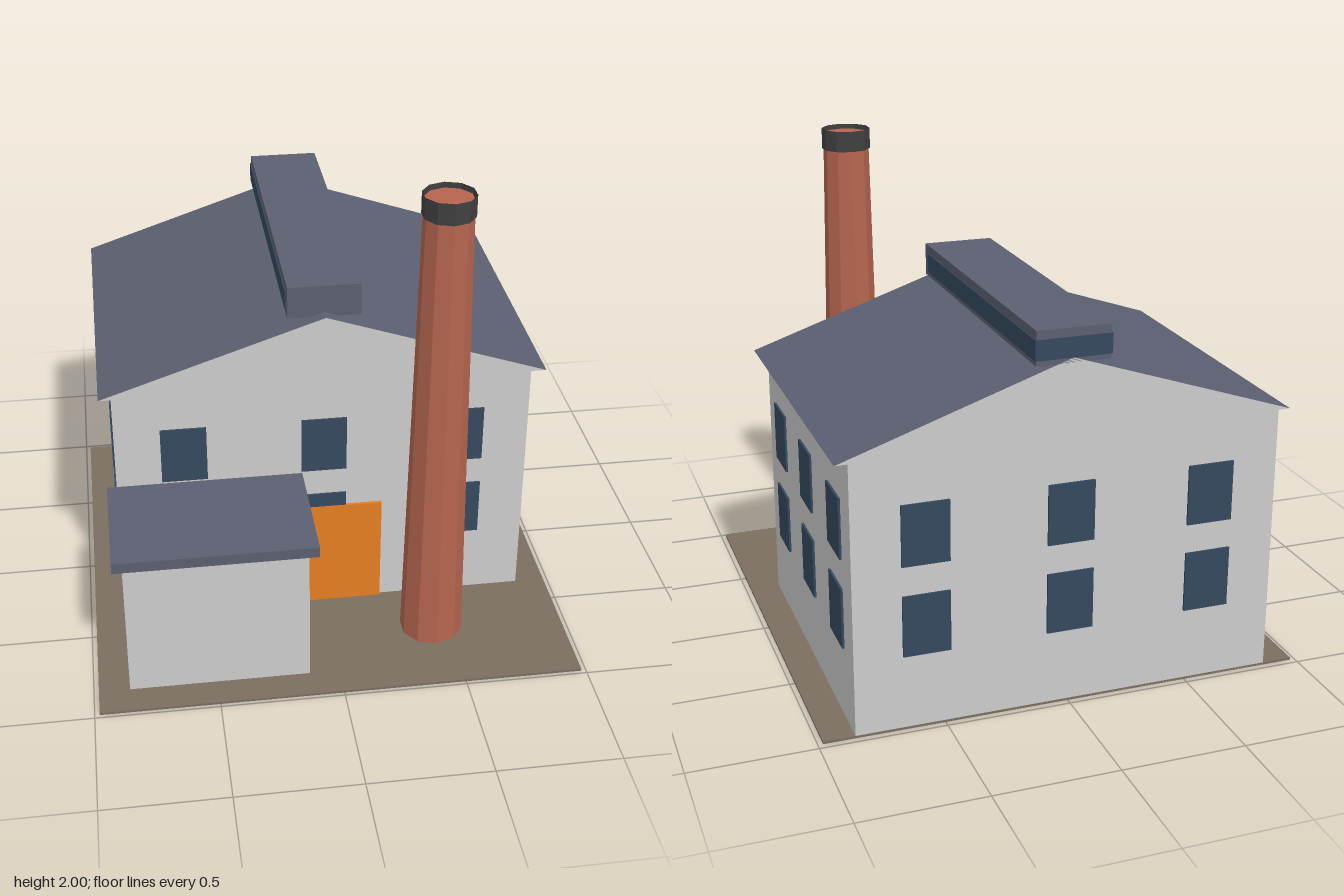
import * as THREE from 'three';

const mat = (name, color, extra = {}) => {
  const m = new THREE.MeshStandardMaterial({ color, ...extra });
  m.name = name;
  return m;
};

export function createModel() {
  const wall = mat('wall grey', 0xcccccc);
  const slate = mat('roof slate', 0x5b5f70);
  const glass = mat('window blue', 0x34495e);
  const orange = mat('door orange', 0xe67e22);
  const brick = mat('brick red', 0xb5654f, { flatShading: true });
  const soot = mat('cap charcoal', 0x404040, { flatShading: true, side: THREE.DoubleSide });
  const soil = mat('ground brown', 0x7a6e5f);

  const model = new THREE.Group();
  model.name = 'factory';
  const add = (name, geometry, material, parent = model) => {
    const mesh = new THREE.Mesh(geometry, material);
    mesh.name = name;
    parent.add(mesh);
    return mesh;
  };
  // Box given by its min and max on each axis
  const box = (name, material, [x0, x1], [y0, y1], [z0, z1], parent) => {
    const mesh = add(name, new THREE.BoxGeometry(x1 - x0, y1 - y0, z1 - z0), material, parent);
    mesh.position.set((x0 + x1) / 2, (y0 + y1) / 2, (z0 + z1) / 2);
    return mesh;
  };

  const back = -0.975, front = 0.375, side = 0.855, eaves = 1.105;

  // Ground slab and main hall
  box('ground', soil, [-0.98, 0.98], [0, 0.01], [back, 0.985]);
  box('mainHall', wall, [-side, side], [0.002, eaves], [back, front]);

  // Gabled roof: grey gable ends, slate slopes and eaves
  const gable = new THREE.Shape([
    new THREE.Vector2(-0.905, eaves),
    new THREE.Vector2(0.905, eaves),
    new THREE.Vector2(0, 1.41),
  ]);
  const roofGeometry = new THREE.ExtrudeGeometry(gable, { depth: 0.42 - back, bevelEnabled: false });
  add('mainRoof', roofGeometry, [wall, slate]).position.z = back;

  // Ridge skylight with a glazed band
  box('ridgeMonitor', slate, [-0.147, 0.147], [1.39, 1.525], [back, 0.37]);
  box('ridgeGlazing', glass, [-0.152, 0.152], [1.41, 1.49], [back - 0.003, 0.325]);

  // Front annex and its flat roof
  box('annex', wall, [-side, -0.125], [0.002, 0.62], [front, 0.86]);
  box('annexRoof', slate, [-0.895, -0.09], [0.62, 0.665], [front, 0.9]);

  // Loading door
  box('door', orange, [-0.125, 0.245], [0.002, 0.495], [front, front + 0.013]);

  // Two rows of three windows on every wall
  const windows = new THREE.Group();
  windows.name = 'windows';
  model.add(windows);
  const half = 0.0935, proud = 0.009;
  for (const rows of [[0.31, 0.557], [0.677, 0.922]]) {
    for (const x of [-0.575, 0, 0.572]) {
      const span = [x - half, x + half];
      box('frontWindow', glass, span, rows, [front, front + proud], windows);
      box('backWindow', glass, span, rows, [back - proud, back], windows);
    }
    for (const z of [0.15, -0.3, -0.75]) {
      const span = [z - half, z + half];
      box('rightSideWindow', glass, [-side - proud, -side], rows, span, windows);
      box('leftSideWindow', glass, [side, side + proud], rows, span, windows);
    }
  }

  // Ten-sided tapering chimney with an open cap ring
  const chimney = new THREE.Group();
  chimney.name = 'chimney';
  chimney.position.set(0.425, 0, 0.617);
  model.add(chimney);
  add('chimneyShaft', new THREE.CylinderGeometry(0.096, 0.13, 1.978, 10), brick, chimney).position.y = 0.991;
  add('chimneyCap', new THREE.CylinderGeometry(0.103, 0.103, 0.087, 10, 1, true), soot, chimney).position.y = 1.9565;

  return model;
}
